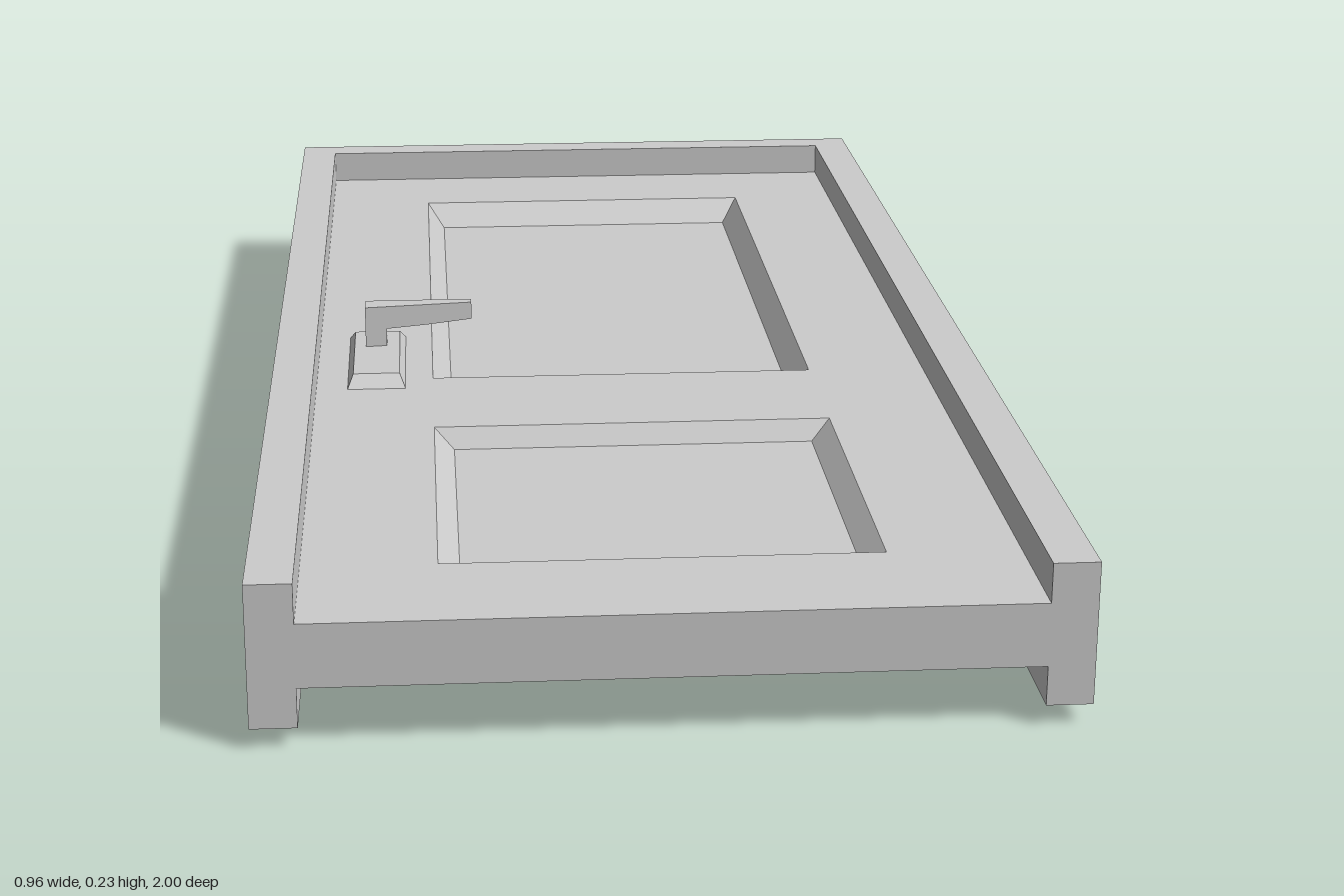
import * as THREE from 'three';

const MID = 0.1128;   // height of the door's middle plane
const LEAF = 0.039;   // half thickness of the leaf
const FRAME = 0.0875; // half thickness of the frame
const material = new THREE.MeshStandardMaterial({ color: 0xcccccc, flatShading: true });

// Stepped rectangles [x0, x1, z0, z1, y] joined by sloping walls, closed by a flat cap on the last
function steppedRects(...rects) {
  const pos = [], idx = [];
  for (const [x0, x1, z0, z1, y] of rects) {
    pos.push(x0, y, z1, x1, y, z1, x1, y, z0, x0, y, z0);
  }
  for (let r = 0; r < rects.length - 1; r++) {
    for (let i = 0; i < 4; i++) {
      const a = r * 4 + i, b = r * 4 + (i + 1) % 4;
      idx.push(a, b, b + 4, a, b + 4, a + 4);
    }
  }
  const c = (rects.length - 1) * 4;
  idx.push(c, c + 1, c + 2, c, c + 2, c + 3);
  const g = new THREE.BufferGeometry();
  g.setAttribute('position', new THREE.Float32BufferAttribute(pos, 3));
  g.setIndex(idx);
  return g;
}

// Outline in plan (x, z), stored with z negated so that it can be laid flat
function planPath(points, Type = THREE.Shape) {
  return new Type(points.map(([x, z]) => new THREE.Vector2(x, -z)));
}

// Flat-shaded copy, reflected through the middle plane for the underside
function faceCopy(geometry, side) {
  const g = geometry.index ? geometry.toNonIndexed() : geometry.clone();
  if (side < 0) {
    const p = g.attributes.position;
    const v = new THREE.Vector3(), w = new THREE.Vector3();
    for (let i = 0; i < p.count; i++) p.setY(i, -p.getY(i));
    for (let i = 0; i < p.count; i += 3) {
      v.fromBufferAttribute(p, i + 1);
      w.fromBufferAttribute(p, i + 2);
      p.setXYZ(i + 1, w.x, w.y, w.z);
      p.setXYZ(i + 2, v.x, v.y, v.z);
    }
  }
  g.computeVertexNormals();
  return g;
}

// Lever: side profile with its neck, narrowing towards the tip
function leverGeometry() {
  const profile = new THREE.Shape([
    [-0.358, 0.05], [-0.328, 0.05], [-0.328, 0.08], [-0.27, 0.083],
    [-0.207, 0.088], [-0.207, 0.1128], [-0.358, 0.1128],
  ].map(([x, y]) => new THREE.Vector2(x, y)));
  const g = new THREE.ExtrudeGeometry(profile, { depth: 1, bevelEnabled: false });
  const p = g.attributes.position;
  for (let i = 0; i < p.count; i++) {
    const t = (p.getX(i) + 0.358) / 0.151;
    p.setZ(i, 0.022 + p.getZ(i) * THREE.MathUtils.lerp(0.034, 0.016, t));
  }
  return g;
}

export function createModel() {
  const door = new THREE.Group();
  door.name = 'door';
  const add = (name, geometry, parent = door) => {
    const mesh = new THREE.Mesh(geometry, material);
    mesh.name = name;
    parent.add(mesh);
    return mesh;
  };

  // U-shaped frame, open at the threshold
  const frame = new THREE.ExtrudeGeometry(planPath([
    [-0.48, 1], [-0.425, 1], [-0.425, -0.95], [0.425, -0.95],
    [0.425, 1], [0.48, 1], [0.48, -1], [-0.48, -1],
  ]), { depth: FRAME * 2, bevelEnabled: false });
  frame.rotateX(-Math.PI / 2);
  add('frame', frame).position.y = MID - FRAME;

  // Recessed panels: outer rectangle, inset in x and z, depth
  const panels = [
    { name: 'upperPanel', x: 0.264, z0: -0.785, z1: 0.155, dx: 0.026, dz: 0.04, depth: 0.033 },
    { name: 'lowerPanel', x: 0.264, z0: 0.36, z1: 0.835, dx: 0.026, dz: 0.02, depth: 0.025 },
  ];

  // Leaf face with an opening for each panel
  const face = planPath([[-0.425, -0.95], [-0.425, 1], [0.425, 1], [0.425, -0.95]]);
  for (const { x, z0, z1 } of panels) {
    face.holes.push(planPath([[-x, z0], [x, z0], [x, z1], [-x, z1]], THREE.Path));
  }
  const faceGeometry = new THREE.ShapeGeometry(face);
  faceGeometry.rotateX(-Math.PI / 2).translate(0, LEAF, 0);

  // Bevelled lock plate
  const plate = steppedRects(
    [-0.382, -0.302, -0.038, 0.197, LEAF],
    [-0.374, -0.31, -0.015, 0.177, LEAF + 0.016],
  );
  const lever = leverGeometry();

  // Matching upper and lower faces
  for (const side of [1, -1]) {
    const half = new THREE.Group();
    half.name = side > 0 ? 'upperSide' : 'underSide';
    half.position.y = MID;
    door.add(half);
    add('leafFace', faceCopy(faceGeometry, side), half);
    for (const { name, x, z0, z1, dx, dz, depth } of panels) {
      const recess = steppedRects(
        [-x, x, z0, z1, LEAF],
        [-x + dx, x - dx, z0 + dz, z1 - dz, LEAF - depth],
      );
      add(name, faceCopy(recess, side), half);
    }
    add('lockPlate', faceCopy(plate, side), half);
    add('leverHandle', faceCopy(lever, side), half);
  }

  // Threshold edge of the leaf
  add('leafEdge', new THREE.PlaneGeometry(0.85, LEAF * 2)).position.set(0, MID, 1);
  return door;
}
